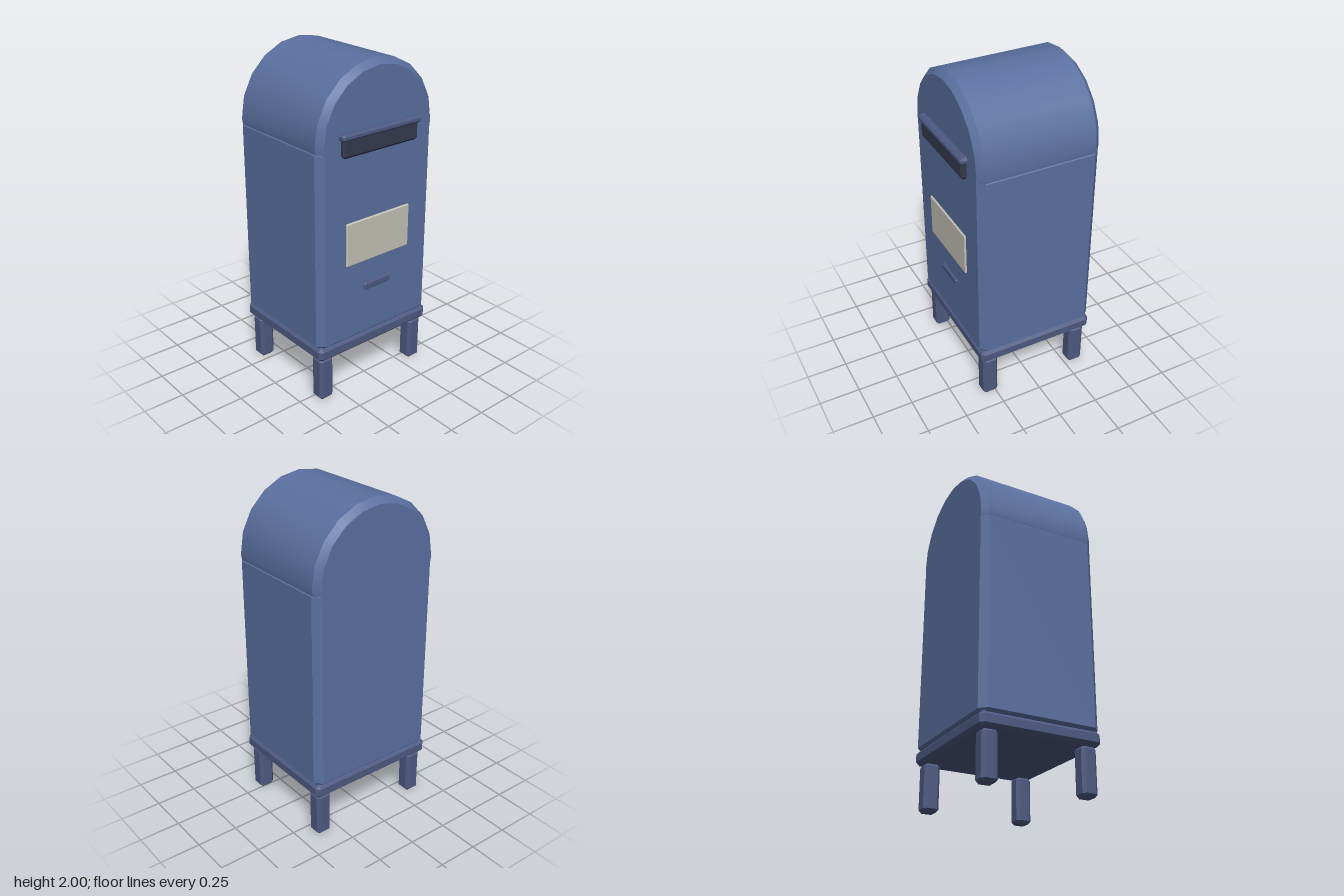
import * as THREE from 'three';
import { ConvexGeometry } from 'three/addons/geometries/ConvexGeometry.js';
import { toCreasedNormals } from 'three/addons/utils/BufferGeometryUtils.js';

const mat = (color) => new THREE.MeshStandardMaterial({ color });
const blue = mat(0x5a70a0);
const trim = mat(0x4d5a82);
const dark = mat(0x343a4e);
const cream = mat(0xc4c1b6);

// Box with 45 degree chamfers on every edge, given by its min/max extents
function chamferBox(name, [x0, x1], [y0, y1], [z0, z1], c, material) {
  const half = [(x1 - x0) / 2, (y1 - y0) / 2, (z1 - z0) / 2];
  const points = [];
  for (const sx of [-1, 1]) for (const sy of [-1, 1]) for (const sz of [-1, 1]) {
    for (let axis = 0; axis < 3; axis++) {
      const [x, y, z] = half.map((h, i) => (i === axis ? h : h - c));
      points.push(new THREE.Vector3(sx * x, sy * y, sz * z));
    }
  }
  const mesh = new THREE.Mesh(new ConvexGeometry(points), material);
  mesh.name = name;
  mesh.position.set((x0 + x1) / 2, (y0 + y1) / 2, (z0 + z1) / 2);
  return mesh;
}

// Half-round roof with chamfered front and back rims
function makeRoof(zBack, zFront) {
  const c = 0.035, baseY = 1.58, segments = 10, points = [];
  const addSection = (r, z) => {
    for (let i = 0; i <= segments; i++) {
      const a = (i / segments) * Math.PI;
      points.push(new THREE.Vector3(r * Math.cos(a), baseY + r * Math.sin(a), z));
    }
    // Slight tuck below the spring line
    for (const s of [-1, 1]) points.push(new THREE.Vector3(s * (r - 0.006), 1.54, z));
  };
  addSection(0.385, zBack);
  addSection(0.42, zBack + c);
  addSection(0.42, zFront - c);
  addSection(0.385, zFront);
  const mesh = new THREE.Mesh(toCreasedNormals(new ConvexGeometry(points), 0.55), blue);
  mesh.name = 'roof';
  return mesh;
}

export function createModel() {
  const group = new THREE.Group();
  group.name = 'mailbox';
  const zBack = -0.39, zFront = 0.35;

  // Cabinet
  group.add(
    chamferBox('body', [-0.42, 0.42], [0.34, 1.58], [zBack, zFront], 0.04, blue),
    makeRoof(zBack, zFront),
    chamferBox('base', [-0.42, 0.42], [0.278, 0.368], [zBack, zFront], 0.022, trim),
  );

  // Front fittings
  group.add(
    chamferBox('slot', [-0.27, 0.27], [1.5, 1.62], [0.3, 0.38], 0.015, dark),
    chamferBox('slotHood', [-0.285, 0.285], [1.6, 1.64], [0.31, 0.39], 0.012, trim),
    chamferBox('label', [-0.235, 0.235], [0.845, 1.11], [0.32, 0.36], 0.006, cream),
    chamferBox('handle', [-0.1, 0.1], [0.655, 0.702], [0.32, 0.363], 0.008, trim),
  );

  // Four legs
  const w = 0.048;
  for (const x of [-0.352, 0.352]) for (const z of [-0.32, 0.282]) {
    group.add(chamferBox('leg', [x - w, x + w], [0, 0.282], [z - w, z + w], 0.018, trim));
  }
  return group;
}
